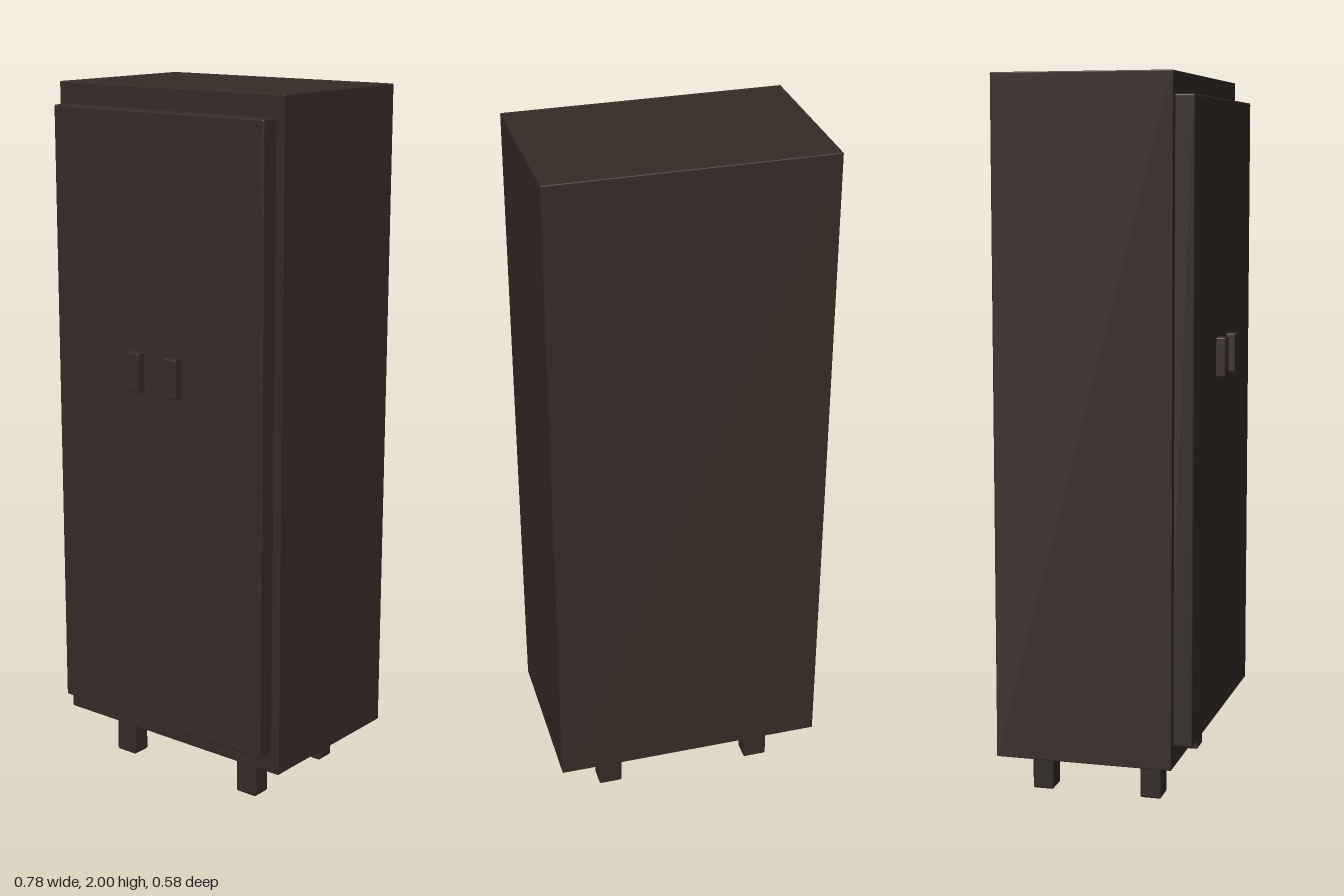
import * as THREE from 'three';
import { RoundedBoxGeometry } from 'three/addons/geometries/RoundedBoxGeometry.js';

export function createModel() {
  const group = new THREE.Group();
  const wood = new THREE.MeshStandardMaterial({ color: 0x352b26 });

  // Softly edged block given by its extents on each axis
  function block(name, [x0, x1], [y0, y1], [z0, z1], radius) {
    const geometry = new RoundedBoxGeometry(x1 - x0, y1 - y0, z1 - z0, 2, radius);
    const mesh = new THREE.Mesh(geometry, wood);
    mesh.position.set((x0 + x1) / 2, (y0 + y1) / 2, (z0 + z1) / 2);
    mesh.name = name;
    group.add(mesh);
  }

  // Cabinet carcass and the raised door panel on its front
  block('cabinetBody', [-0.39, 0.39], [0.128, 2], [-0.289, 0.21], 0.003);
  block('doorPanel', [-0.365, 0.365], [0.19, 1.94], [0.19, 0.262], 0.005);

  // Mirrored handles and legs
  for (const side of [1, -1]) {
    const label = side > 0 ? 'left' : 'right';
    const span = (a, b) => (side > 0 ? [a, b] : [-b, -a]);
    block(label + 'Handle', span(0.044, 0.089), [1.173, 1.284], [0.25, 0.288], 0.004);
    block(label + 'FrontLeg', span(0.194, 0.264), [0, 0.14], [0.09, 0.15], 0.006);
    block(label + 'BackLeg', span(0.194, 0.264), [0, 0.14], [-0.225, -0.165], 0.006);
  }

  return group;
}
